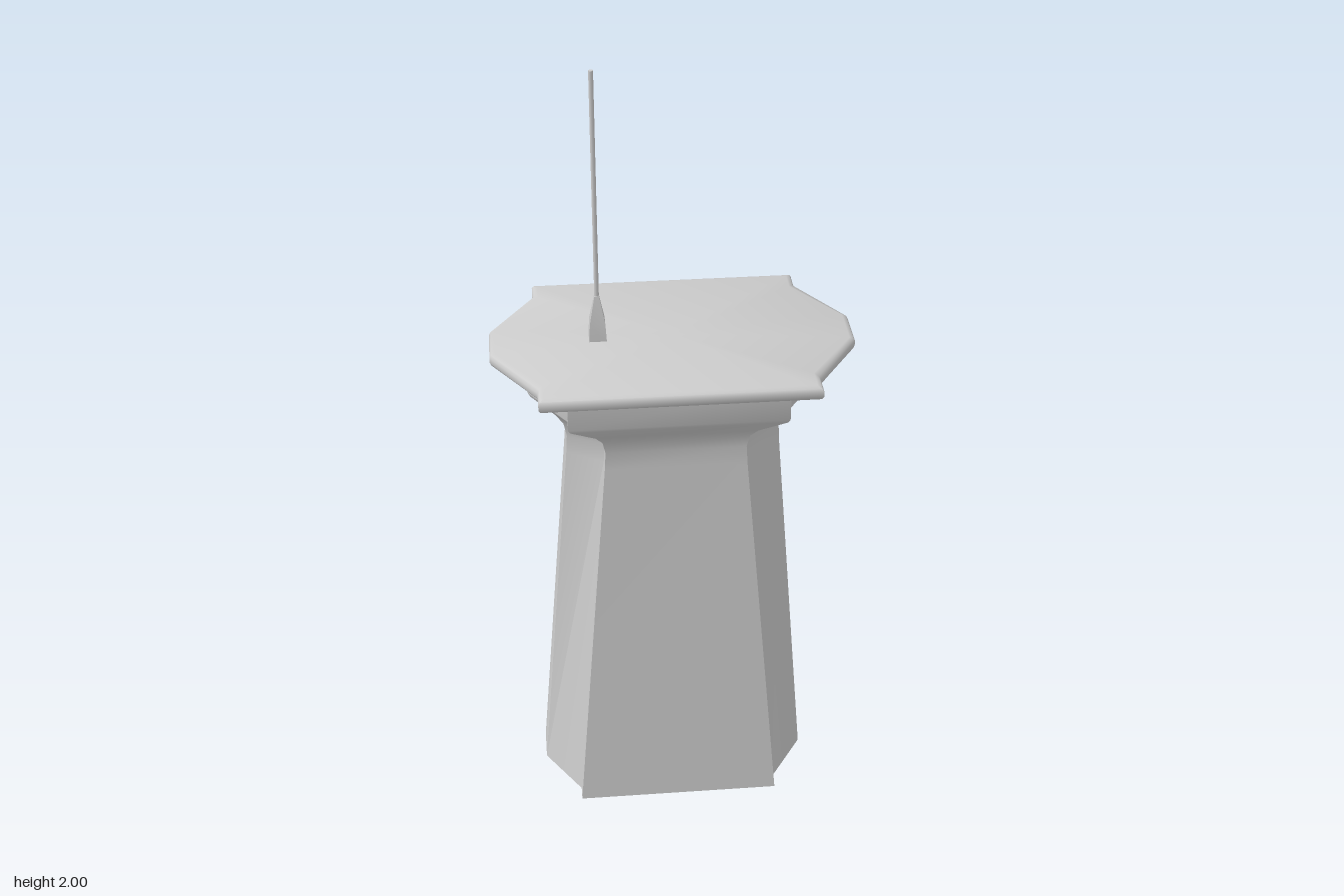
import * as THREE from 'three';
import { toCreasedNormals } from 'three/addons/utils/BufferGeometryUtils.js';

const material = new THREE.MeshStandardMaterial({ color: 0xcccccc });

// Twelve-sided plan: long flat sides, small shoulders, tapered ends; d insets it evenly
function plan({ endX, endZ, sideX, sideZ, stepZ }, d) {
  const q = [[endX - d, endZ], [sideX - d, stepZ - d], [sideX - d, sideZ - d]];
  const half = [...q, ...q.map(([x, z]) => [-x, z]).reverse()];
  return [...half, ...half.map(([x, z]) => [-x, -z])];
}

// Skin a stack of [y, inset] levels and close both ends
function loft(name, shape, levels, crease) {
  const pos = [], idx = [], n = 12;
  for (const [y, d] of levels) for (const [x, z] of plan(shape, d)) pos.push(x, y, z);
  for (let l = 0; l < levels.length - 1; l++) {
    for (let i = 0; i < n; i++) {
      const a = l * n + i, b = l * n + (i + 1) % n;
      idx.push(a, a + n, b, b, a + n, b + n);
    }
  }
  const top = (levels.length - 1) * n, centre = levels.length * n;
  pos.push(0, levels[0][0], 0, 0, levels[levels.length - 1][0], 0);
  for (let i = 0; i < n; i++) {
    const j = (i + 1) % n;
    idx.push(centre, i, j, centre + 1, top + j, top + i);
  }
  const geo = new THREE.BufferGeometry();
  geo.setAttribute('position', new THREE.Float32BufferAttribute(pos, 3));
  geo.setIndex(idx);
  const mesh = new THREE.Mesh(toCreasedNormals(geo, crease), material);
  mesh.name = name;
  return mesh;
}

export function createModel() {
  const model = new THREE.Group();
  model.name = 'tower';

  // Tapering shaft that flares out through a curved neck into an upright collar
  model.add(loft('shaft',
    { endX: 0.352, endZ: 0.046, sideX: 0.262, sideZ: 0.22, stepZ: 0.18 },
    [[0, 0], [1.02, 0.087], [1.07, 0.09], [1.105, 0.083], [1.13, 0.066],
      [1.19, 0.005], [1.2, 0], [1.29, 0]], 0.66));

  // Overhanging roof slab with softened rim
  model.add(loft('roofSlab',
    { endX: 0.438, endZ: 0.054, sideX: 0.329, sideZ: 0.273, stepZ: 0.219 },
    [[1.284, 0.012], [1.287, 0.004], [1.295, 0], [1.308, 0], [1.315, 0.004], [1.319, 0.014]], 0.9));

  // Antenna: square tapered foot and thin mast
  const antenna = new THREE.Group();
  antenna.name = 'antenna';
  antenna.position.set(-0.178, 1.316, 0);

  const footProfile = [[0, 0], [0.03, 0], [0.026, 0.05], [0.008, 0.118], [0, 0.118]]
    .map(([r, y]) => new THREE.Vector2(r, y));
  const footGeo = toCreasedNormals(new THREE.LatheGeometry(footProfile, 4, Math.PI / 4), 0.4);
  const foot = new THREE.Mesh(footGeo, material);
  foot.name = 'antennaFoot';

  const mast = new THREE.Mesh(new THREE.CylinderGeometry(0.0055, 0.0055, 0.584, 8), material);
  mast.name = 'antennaMast';
  mast.position.y = 0.392;

  antenna.add(foot, mast);
  model.add(antenna);
  return model;
}
